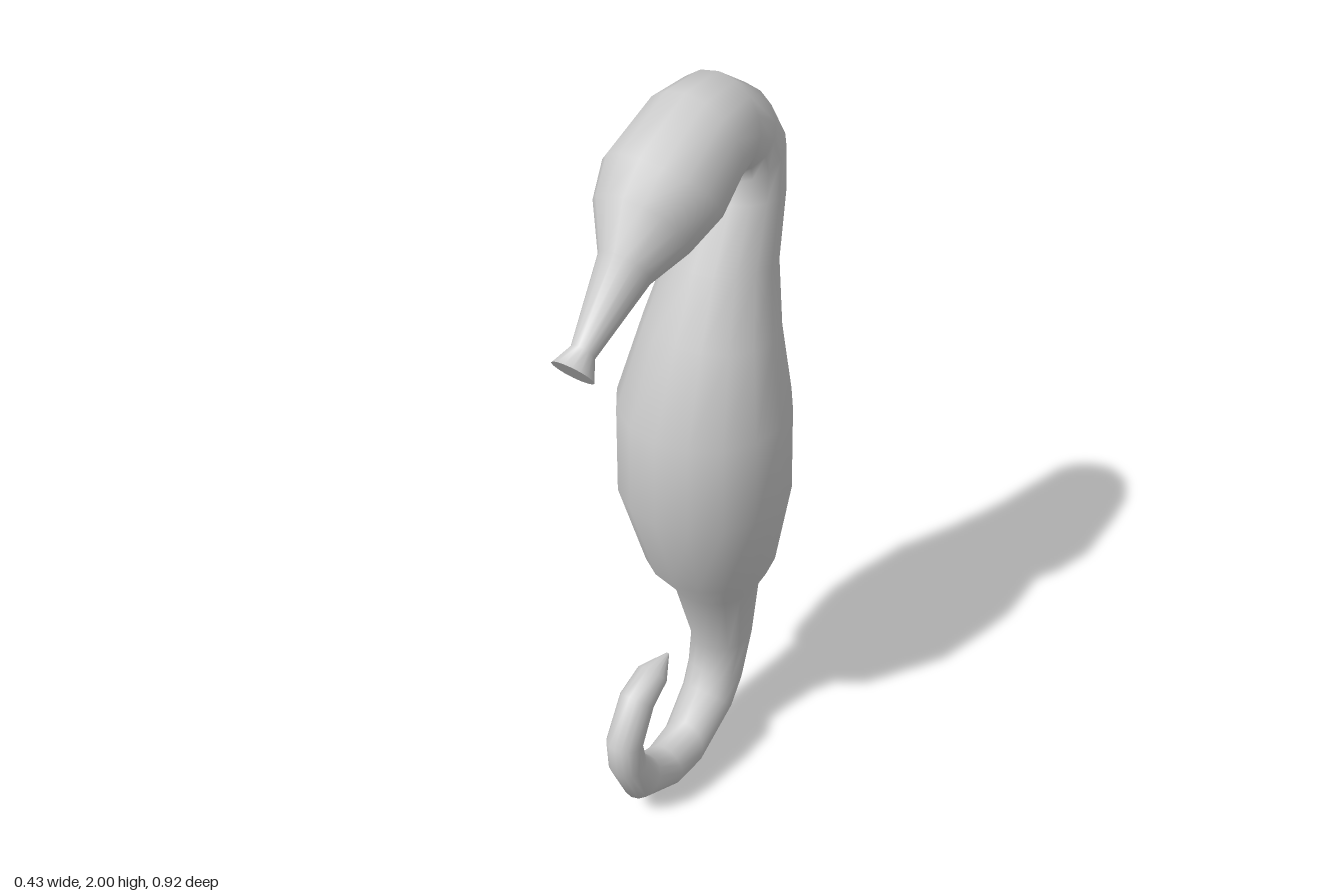
import * as THREE from 'three';

const SIDES = 16;

// Cross-sections from tail tip to snout:
// [outer z, outer y, inner z, inner y, half-width in x]
const TAIL = [
  [0.08, 0.455, 0.08, 0.445, 0.005],
  [0.17, 0.47, 0.125, 0.4, 0.04],
  [0.25, 0.435, 0.185, 0.365, 0.045],
  [0.32, 0.31, 0.23, 0.285, 0.047],
  [0.31, 0.21, 0.217, 0.22, 0.05],
  [0.25, 0.08, 0.16, 0.155, 0.052],
  [0.095, 0.003, 0.1, 0.135, 0.057],
  [0.015, 0.003, 0.0, 0.145, 0.062],
  [-0.155, 0.105, -0.06, 0.215, 0.07],
  [-0.21, 0.185, -0.08, 0.27, 0.073],
  [-0.255, 0.355, -0.095, 0.34, 0.08],
];
const TRUNK = [
  [-0.26, 0.55, -0.03, 0.55, 0.11],
  [-0.283, 0.655, 0.05, 0.655, 0.165],
  [-0.305, 0.915, 0.13, 0.905, 0.215],
  [-0.297, 1.15, 0.13, 1.15, 0.213],
  [-0.28, 1.34, 0.045, 1.37, 0.165],
  [-0.295, 1.51, -0.03, 1.53, 0.128],
  [-0.33, 1.66, -0.11, 1.68, 0.11],
];
const HEAD = [
  [-0.323, 1.8, -0.13, 1.725, 0.106],
  [-0.24, 1.92, -0.13, 1.747, 0.112],
  [-0.13, 1.995, -0.107, 1.757, 0.118],
  [0.0, 2.0, -0.06, 1.735, 0.13],
  [0.17, 1.925, 0.005, 1.7, 0.145],
  [0.235, 1.86, 0.09, 1.66, 0.12],
  [0.27, 1.745, 0.195, 1.63, 0.065],
  [0.405, 1.585, 0.38, 1.535, 0.03],
  [0.46, 1.57, 0.4, 1.49, 0.052],
];

// Elliptical ring spanning the outer and inner points of a section
function ring([oz, oy, iz, iy, w]) {
  const points = [];
  for (let j = 0; j < SIDES; j++) {
    const a = (j / SIDES) * Math.PI * 2;
    const c = Math.cos(a) / 2;
    points.push(w * Math.sin(a), (oy + iy) / 2 + (oy - iy) * c, (oz + iz) / 2 + (oz - iz) * c);
  }
  return points;
}

function makeGeometry(positions, index) {
  const geometry = new THREE.BufferGeometry();
  geometry.setAttribute('position', new THREE.Float32BufferAttribute(positions, 3));
  geometry.setIndex(index);
  geometry.computeVertexNormals();
  return geometry;
}

// Smooth skin through all sections
function loft(sections) {
  const index = [];
  for (let i = 0; i < sections.length - 1; i++) {
    for (let j = 0; j < SIDES; j++) {
      const k = (j + 1) % SIDES;
      const a = i * SIDES + j, b = i * SIDES + k;
      const c = a + SIDES, d = b + SIDES;
      index.push(a, c, b, b, c, d);
    }
  }
  return makeGeometry(sections.flatMap(ring), index);
}

// Flat disc closing the last section
function cap(section) {
  const index = [];
  for (let j = 1; j < SIDES - 1; j++) index.push(0, j + 1, j);
  return makeGeometry(ring(section), index);
}

// Wedge that is thick at the root and sharp along its trailing edge
function finGeometry() {
  const box = new THREE.BoxGeometry(1, 1, 1).toNonIndexed();
  const p = box.attributes.position;
  for (let i = 0; i < p.count; i++) {
    const side = Math.sign(p.getX(i));
    const top = p.getY(i) > 0;
    if (p.getZ(i) < 0) p.setXYZ(i, side * 0.001, top ? 0.943 : 0.585, top ? -0.457 : -0.415);
    else p.setXYZ(i, side * 0.055, top ? 0.91 : 0.655, -0.25);
  }
  box.computeVertexNormals();
  return box;
}

export function createModel() {
  const model = new THREE.Group();
  model.name = 'seahorse';
  const material = new THREE.MeshStandardMaterial({ color: 0xcccccc });
  const add = (name, geometry) => {
    const mesh = new THREE.Mesh(geometry, material);
    mesh.name = name;
    model.add(mesh);
  };

  // Curled tail, belly, neck, head and snout in one skin
  add('body', loft([...TAIL, ...TRUNK, ...HEAD]));
  add('mouth', cap(HEAD[HEAD.length - 1]));
  add('tailTip', cap(TAIL[0]).scale(1, 1, 1));
  model.getObjectByName('tailTip').geometry.index.array.reverse();
  model.getObjectByName('tailTip').geometry.computeVertexNormals();

  // Fin on the back
  add('dorsalFin', finGeometry());
  return model;
}
